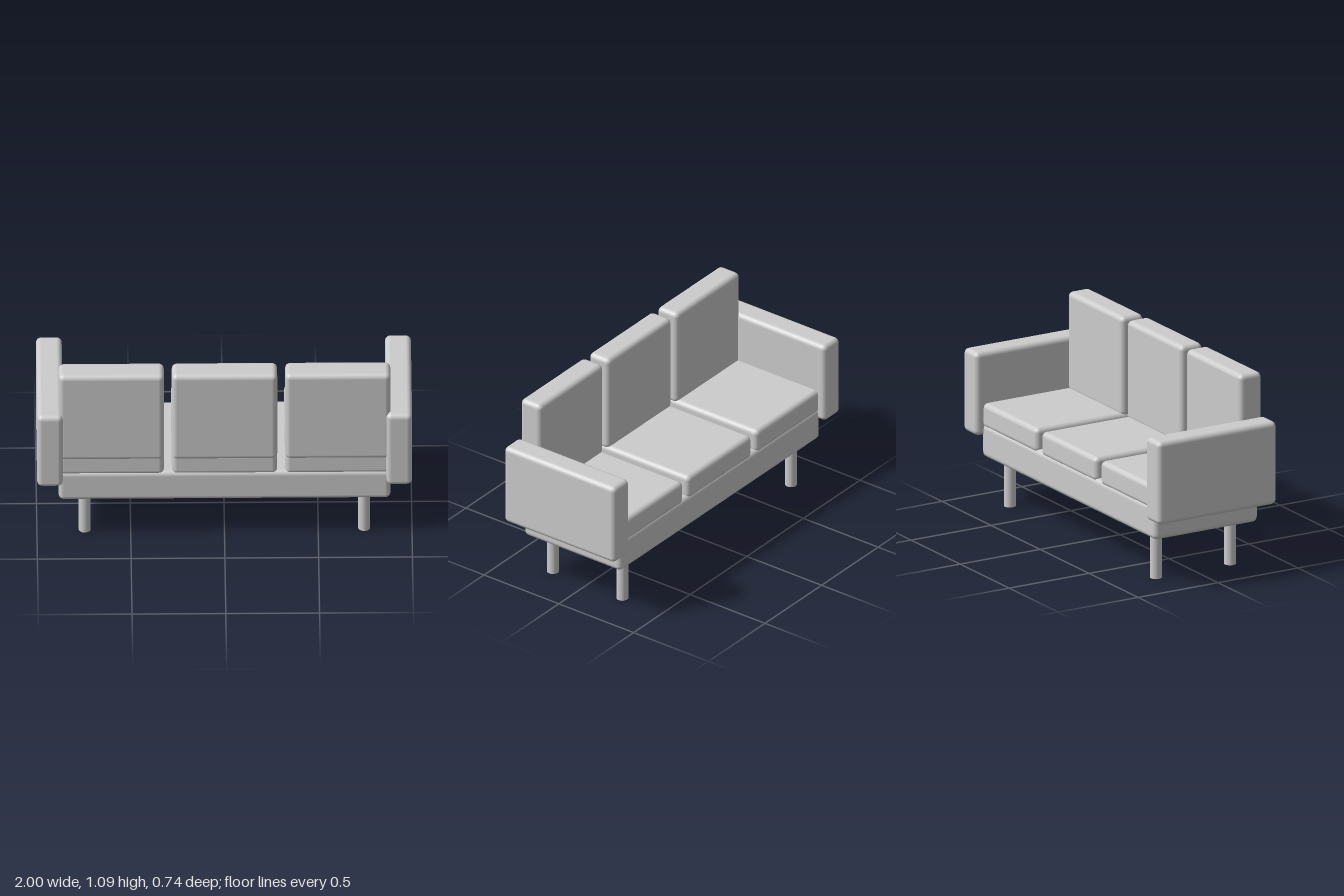
import * as THREE from 'three';
import { RoundedBoxGeometry } from 'three/addons/geometries/RoundedBoxGeometry.js';

export function createModel() {
  const group = new THREE.Group();
  group.name = 'sofa';
  const grey = new THREE.MeshStandardMaterial({ color: 0xcccccc });
  grey.name = 'grey';

  const add = (name, geometry, x, y, z) => {
    const mesh = new THREE.Mesh(geometry, grey);
    mesh.name = name;
    mesh.position.set(x, y, z);
    group.add(mesh);
  };

  // Softly rounded block given by its x, y and z extents
  const block = (name, [x0, x1], [y0, y1], [z0, z1], radius = 0.028) =>
    add(name, new RoundedBoxGeometry(x1 - x0, y1 - y0, z1 - z0, 3, radius),
      (x0 + x1) / 2, (y0 + y1) / 2, (z0 + z1) / 2);

  // Base
  block('base', [-0.885, 0.885], [0.255, 0.44], [-0.325, 0.325]);

  // Three seat cushions, with the backrest cushions along +z
  ['right', 'middle', 'left'].forEach((side, i) => {
    const x = (i - 1) * 0.604;
    const span = [x - 0.281, x + 0.281];
    block(side + 'SeatCushion', span, [0.42, 0.555], [-0.325, 0.322]);
    block(side + 'BackCushion', span, [0.535, 1.09], [0.21, 0.348]);
  });

  // Armrests and legs
  const legGeometry = new THREE.CylinderGeometry(0.032, 0.032, 0.27, 24);
  for (const s of [-1, 1]) {
    const side = s > 0 ? 'left' : 'right';
    block(side + 'Armrest', s > 0 ? [0.862, 1] : [-1, -0.862], [0.376, 0.84], [-0.371, 0.371]);
    add(side + 'FrontLeg', legGeometry, s * 0.745, 0.135, 0.232);
    add(side + 'BackLeg', legGeometry, s * 0.745, 0.135, -0.232);
  }
  return group;
}
